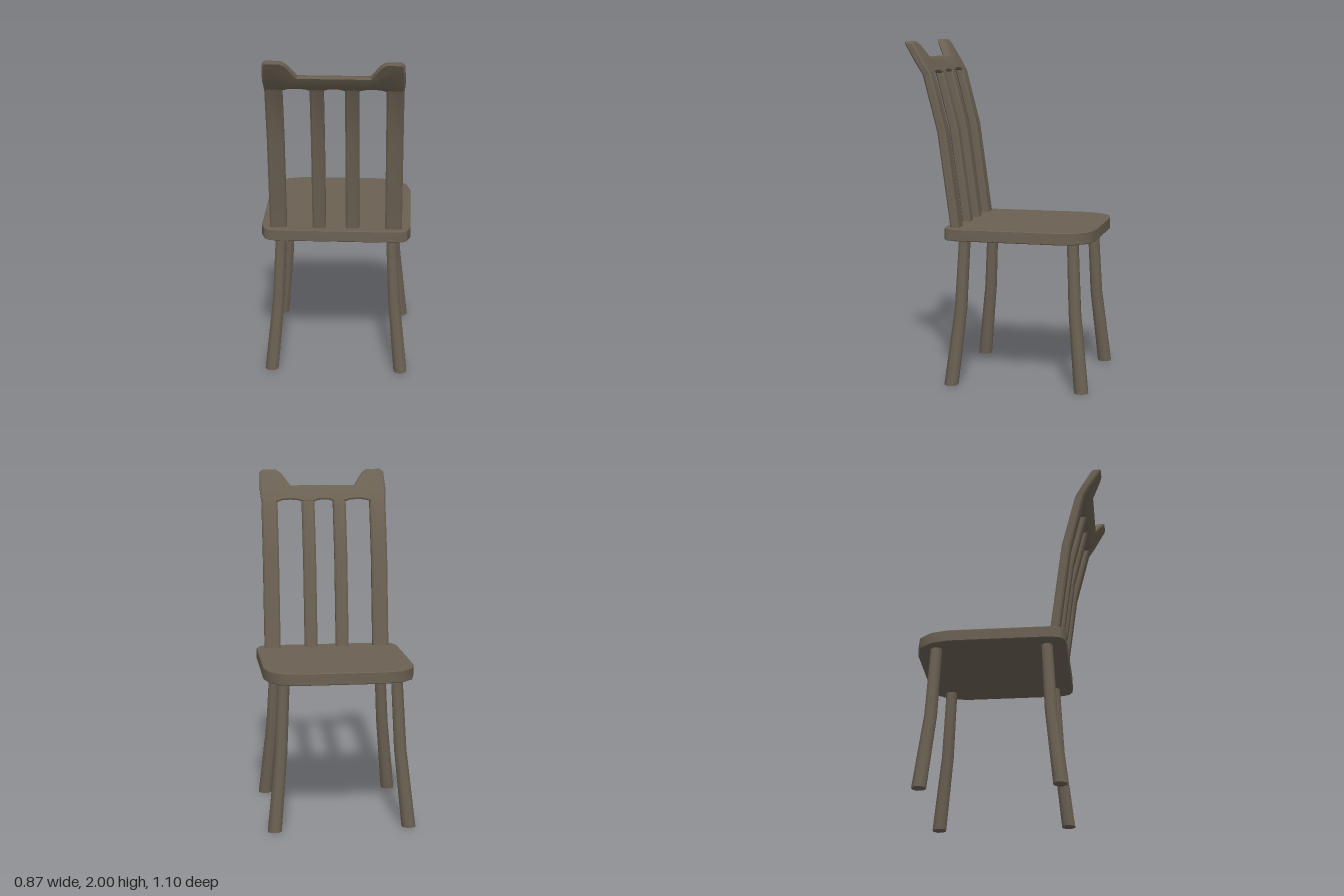
import * as THREE from 'three';
import { toCreasedNormals } from 'three/addons/utils/BufferGeometryUtils.js';

// Closed column through rings of [x, z] points; sections rise as {x, y, z, s}
function loft(ring, sections, crease) {
  const n = ring.length, pos = [], idx = [];
  for (const c of sections)
    for (const [x, z] of ring) pos.push(c.x + x * c.s, c.y, c.z + z * c.s);
  for (let k = 0; k < sections.length - 1; k++)
    for (let i = 0; i < n; i++) {
      const a = k * n + i, b = k * n + (i + 1) % n;
      idx.push(a, a + n, b + n, a, b + n, b);
    }
  const top = (sections.length - 1) * n;
  for (let i = 1; i < n - 1; i++)
    idx.push(0, i, i + 1, top, top + i + 1, top + i);
  const g = new THREE.BufferGeometry();
  g.setAttribute('position', new THREE.Float32BufferAttribute(pos, 3));
  g.setIndex(idx);
  return toCreasedNormals(g, crease);
}

// Shape mirrored across x = 0 from the points of its right half
function mirroredShape(half) {
  const other = half.filter(p => p[0] !== 0).map(([x, y]) => [-x, y]).reverse();
  return new THREE.Shape([...half, ...other].map(p => new THREE.Vector2(...p)));
}

// Centre line of the curved back: height to depth
const backLine = [[0.88, 0.243], [0.93, 0.25], [1.48, 0.325], [1.81, 0.41], [2, 0.522]];

export function createModel() {
  const model = new THREE.Group();
  const wood = new THREE.MeshStandardMaterial({ color: 0x6b6153 });
  wood.name = 'brown wood';
  const add = (geometry, name) => {
    const mesh = new THREE.Mesh(geometry, wood);
    mesh.name = name;
    model.add(mesh);
    return mesh;
  };

  // Seat board with wide cut corners on one end and small ones under the back
  const seat = new THREE.ExtrudeGeometry(mirroredShape([
    [0.24, -0.555], [0.345, -0.53], [0.41, -0.46], [0.436, -0.355],
    [0.436, 0.23], [0.415, 0.29], [0.385, 0.31], [0.33, 0.315],
  ]), {
    depth: 0.062, bevelThickness: 0.004, bevelSize: 0.004, bevelOffset: -0.004, bevelSegments: 1,
  });
  seat.rotateX(Math.PI / 2).translate(0, 0.926, 0);
  add(toCreasedNormals(seat, 0.6), 'seat');

  // Four splayed, slightly bent legs
  const octagon = Array.from({ length: 8 }, (_, i) => {
    const a = (i + 0.5) * Math.PI / 4;
    return [Math.cos(a), Math.sin(a)];
  });
  const legDepths = { rearLeg: [0.272, 0.223, 0.203], frontLeg: [-0.503, -0.455, -0.435] };
  for (const [name, [z0, z1, z2]] of Object.entries(legDepths))
    for (const side of [-1, 1])
      add(loft(octagon, [
        { x: side * 0.389, y: 0, z: z0, s: 0.042 },
        { x: side * 0.345, y: 0.45, z: z1, s: 0.037 },
        { x: side * 0.324, y: 0.88, z: z2, s: 0.034 },
      ], 0.9), name);

  // Outer posts and inner slats with chamfered edges, following the back curve
  const addUpright = (name, x, halfWidth) => {
    const w = halfWidth, d = 0.026, c = 0.01;
    const ring = [[w, -d + c], [w, d - c], [w - c, d], [-w + c, d],
      [-w, d - c], [-w, -d + c], [-w + c, -d], [w - c, -d]];
    const path = [...backLine.slice(0, 4), [1.825, 0.419]];
    add(loft(ring, path.map(([y, z]) => ({ x, y, z, s: 1 })), 0.6), name);
  };
  for (const side of [-1, 1]) {
    addUpright('backPost', side * 0.336, 0.049);
    addUpright('backSlat', side * 0.097, 0.039);
  }

  // Leaning top rail with two raised ears and shallow arches below
  const rail = new THREE.ExtrudeGeometry(mirroredShape([
    [0, 1.822], [0.035, 1.82], [0.06, 1.81], [0.135, 1.81], [0.16, 1.819], [0.21, 1.823],
    [0.255, 1.82], [0.287, 1.81], [0.385, 1.81], [0.392, 1.88], [0.386, 1.985],
    [0.368, 2], [0.285, 2], [0.255, 1.98], [0.2, 1.905], [0, 1.905],
  ]), {
    depth: 0.034, bevelThickness: 0.01, bevelSize: 0.01, bevelOffset: -0.01, bevelSegments: 1,
  });
  rail.translate(0, 0, -0.017);
  const p = rail.attributes.position;
  const [[y0, z0], [y1, z1]] = backLine.slice(3);
  for (let i = 0; i < p.count; i++)
    p.setZ(i, p.getZ(i) + z0 + (p.getY(i) - y0) * (z1 - z0) / (y1 - y0));
  add(toCreasedNormals(rail, 0.6), 'topRail');

  return model;
}
